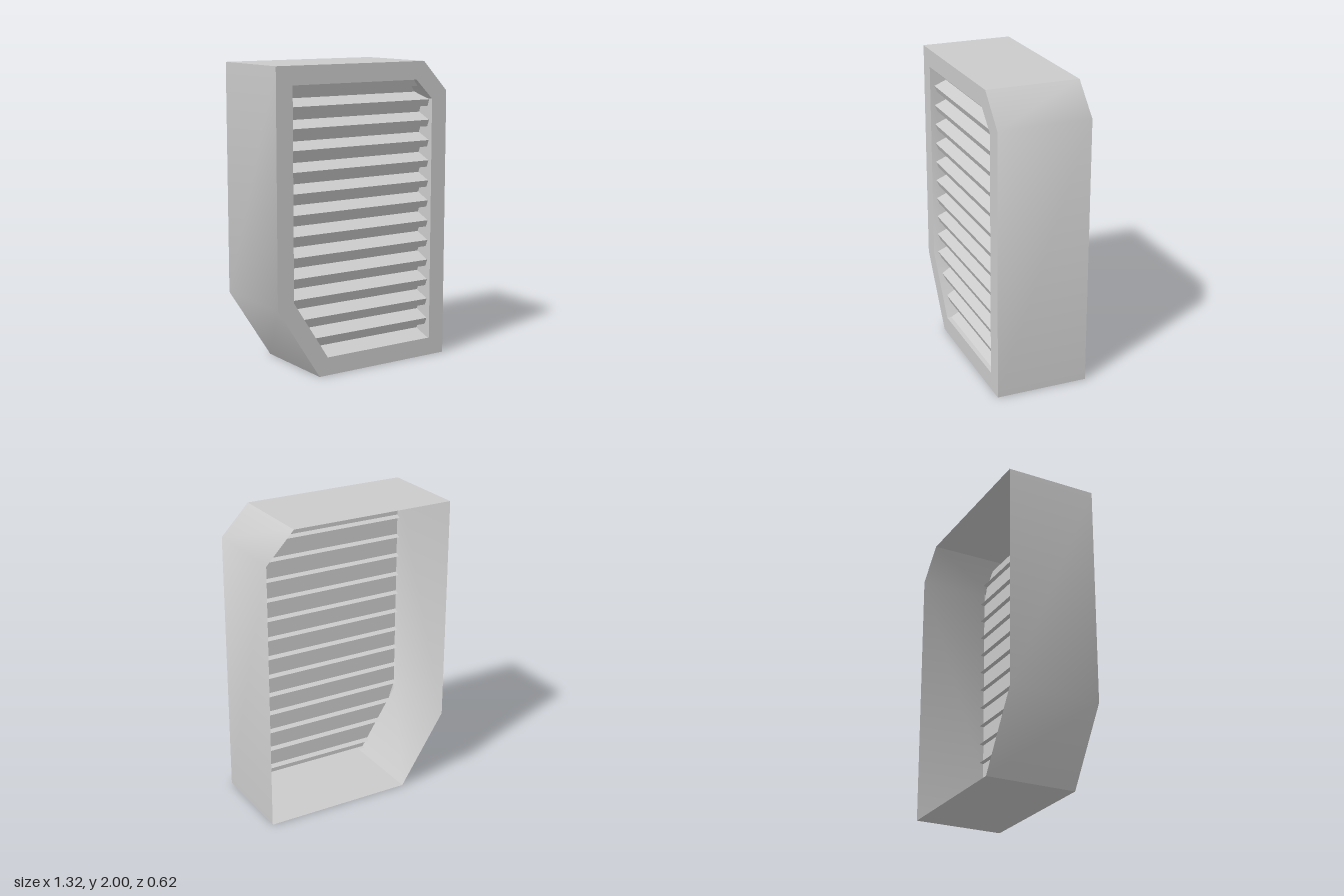
import * as THREE from 'three';
import { toCreasedNormals } from 'three/addons/utils/BufferGeometryUtils.js';

// Six-cornered outlines in the xy plane: two opposite corners are cut off
const OUTER = [[-0.66, 2], [0.47, 2], [0.66, 1.8], [0.66, 0], [-0.35, 0], [-0.66, 0.48]];
const OPENING = [[-0.541, 1.88], [0.41, 1.88], [0.541, 1.75], [0.541, 0.12], [-0.287, 0.12], [-0.541, 0.515]];

const BACK = -0.31;
const FRONT = 0.31;
const SLEEVE_BACK = 0.12;
const PITCH = 0.1357;

const toPoints = (list) => list.map(([x, y]) => new THREE.Vector2(x, y));

function surface(positions) {
  const geometry = new THREE.BufferGeometry();
  geometry.setAttribute('position', new THREE.Float32BufferAttribute(positions, 3));
  geometry.computeVertexNormals();
  return geometry;
}

// Thin wall that follows an outline from z0 (back) to z1 (front), shallow corners smoothed
function wall(outline, z0, z1) {
  const positions = [];
  outline.forEach(([x0, y0], i) => {
    const [x1, y1] = outline[(i + 1) % outline.length];
    const a = [x0, y0, z0], b = [x0, y0, z1], c = [x1, y1, z1], d = [x1, y1, z0];
    positions.push(...a, ...b, ...c, ...a, ...c, ...d);
  });
  return toCreasedNormals(surface(positions), Math.PI / 4);
}

// Opening edges at height y, following the cut corners
function leftAt(y) {
  return y > 0.515 ? -0.541 : -0.287 - 0.254 * (y - 0.12) / 0.395;
}
function rightAt(y) {
  return y < 1.75 ? 0.541 : 0.541 - 0.131 * (y - 1.75) / 0.13;
}

// One louvre: a cross-section in (y, z) stretched across the opening
function slatGeometry(top) {
  const profile = [
    [0, 0.172], [-0.045, 0.28], [-0.09, 0.262], // sloped top and square nose
    [-0.065, 0.201], [-PITCH, 0.172], // underside and steep rear leg
    [-PITCH, SLEEVE_BACK], [-PITCH + 0.004, 0.092], [-PITCH + 0.02, SLEEVE_BACK], [0, SLEEVE_BACK], // back with lip
  ].map(([y, z]) => [THREE.MathUtils.clamp(top + y, 0.12, 1.88), z]);
  const positions = [];
  profile.forEach(([y0, z0], i) => {
    const [y1, z1] = profile[(i + 1) % profile.length];
    const a = [leftAt(y0), y0, z0], b = [leftAt(y1), y1, z1];
    const c = [rightAt(y1), y1, z1], d = [rightAt(y0), y0, z0];
    positions.push(...a, ...b, ...c, ...a, ...c, ...d);
  });
  return surface(positions);
}

export function createModel() {
  const model = new THREE.Group();
  model.name = 'louvredVent';
  const material = new THREE.MeshStandardMaterial({ color: 0xcccccc, side: THREE.DoubleSide });

  const add = (name, geometry, parent = model) => {
    const mesh = new THREE.Mesh(geometry, material);
    mesh.name = name;
    parent.add(mesh);
  };

  // Thin housing, open at the back
  add('housing', wall(OUTER, BACK, FRONT));

  // Front frame with a sleeve running back from its opening
  const frame = new THREE.Shape(toPoints(OUTER));
  frame.holes.push(new THREE.Path(toPoints(OPENING)));
  add('frontFrame', new THREE.ShapeGeometry(frame).translate(0, 0, FRONT));
  add('openingSleeve', wall(OPENING, SLEEVE_BACK, FRONT));

  // Stack of louvres inside the sleeve
  const louvres = new THREE.Group();
  louvres.name = 'louvres';
  model.add(louvres);
  for (let i = 0; i < 14; i++) add('slat', slatGeometry(0.161 + i * PITCH), louvres);

  return model;
}
